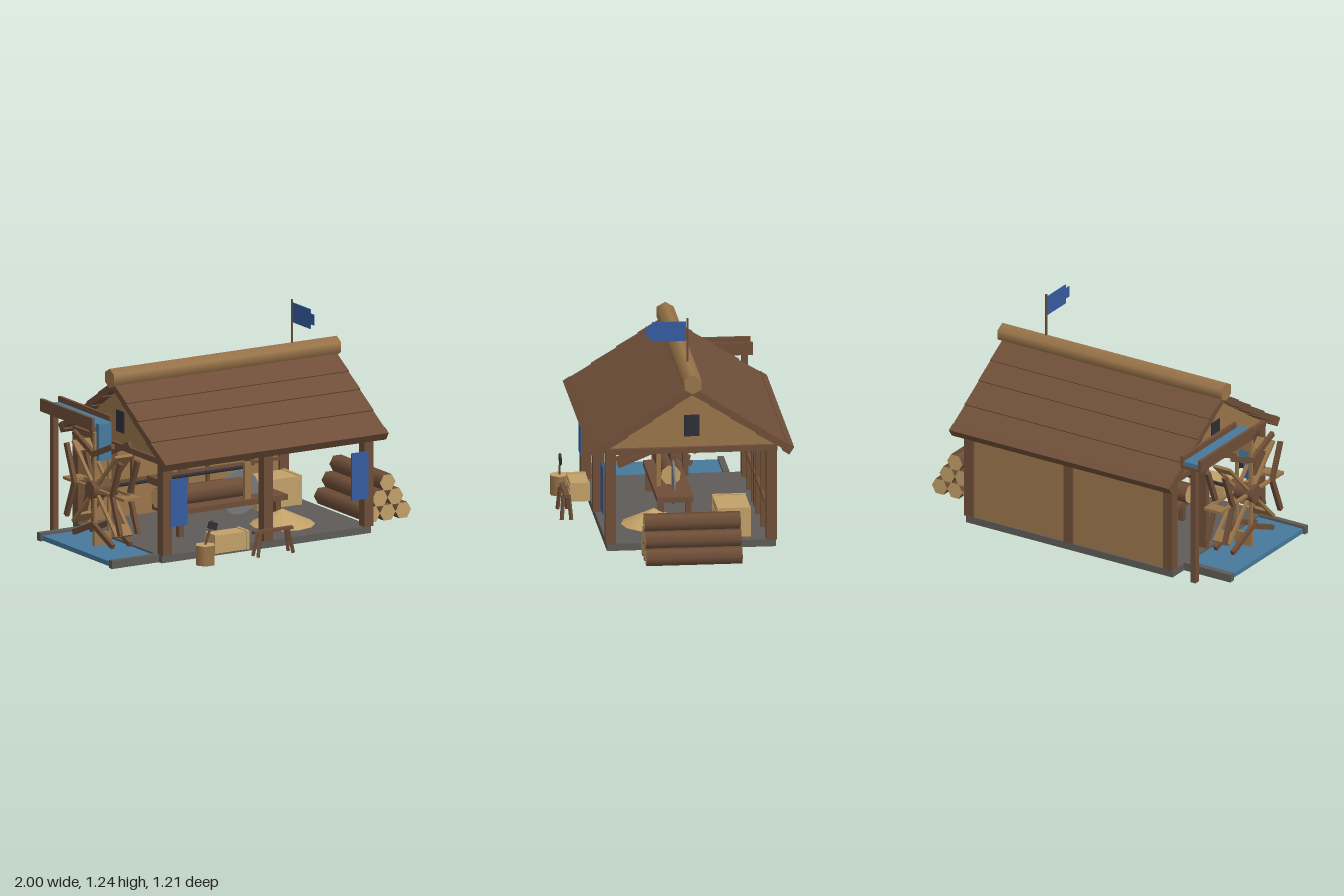
import * as THREE from 'three';

const mat = (name, color) => {
  const m = new THREE.MeshStandardMaterial({ color });
  m.name = name;
  return m;
};

export function createModel() {
  const darkWood = mat('darkWood', 0x6e4e38), wood = mat('wood', 0x9a754a), pale = mat('paleWood', 0xc2a068);
  const stone = mat('stone', 0x5e5b58), water = mat('water', 0x47799c), cloth = mat('cloth', 0x365ba0);
  const iron = mat('iron', 0x2e2e38), steel = mat('steel', 0x77787a);
  const root = new THREE.Group();

  const group = (name, parent = root) => {
    const g = new THREE.Group();
    g.name = name;
    parent.add(g);
    return g;
  };
  const add = (name, geo, m, x, y, z, parent = root) => {
    const mesh = new THREE.Mesh(geo, m);
    mesh.name = name;
    mesh.position.set(x, y, z);
    parent.add(mesh);
    return mesh;
  };
  // box given by its extents
  const box = (name, m, x0, x1, y0, y1, z0, z1, parent = root) =>
    add(name, new THREE.BoxGeometry(x1 - x0, y1 - y0, z1 - z0), m, (x0 + x1) / 2, (y0 + y1) / 2, (z0 + z1) / 2, parent);
  // square bar between two points
  const bar = (name, m, a, b, w, parent = root) => {
    const p = new THREE.Vector3(...a), q = new THREE.Vector3(...b);
    const mesh = add(name, new THREE.BoxGeometry(w, p.distanceTo(q), w), m, 0, 0, 0, parent);
    mesh.position.copy(p).add(q).multiplyScalar(0.5);
    mesh.quaternion.setFromUnitVectors(new THREE.Vector3(0, 1, 0), q.sub(p).normalize());
    return mesh;
  };
  const cyl = (r, len, sides = 6) => new THREE.CylinderGeometry(r, r, len, sides, 1, false, Math.PI / 6);

  // foundation and mill pond
  box('foundation', stone, -0.7, 0.635, 0, 0.04, -0.515, 0.41);
  box('pondWater', water, -0.985, -0.7, 0.003, 0.03, -0.365, 0.35);
  box('pondCurb', stone, -1, -0.7, 0, 0.045, 0.35, 0.38);
  box('pondCurb', stone, -1, -0.7, 0, 0.045, -0.4, -0.365);

  // timber frame
  const frame = group('frame');
  for (const x of [-0.67, -0.025, 0.617])
    for (const z of [0.39, -0.49]) box('post', darkWood, x - 0.029, x + 0.029, 0.04, 0.55, z - 0.029, z + 0.029, frame);
  box('sidePost', darkWood, -0.695, -0.645, 0.04, 0.55, -0.17, -0.14, frame);
  box('sideRail', darkWood, -0.69, -0.65, 0.415, 0.455, 0.24, 0.365, frame);
  for (const z of [0.39, -0.49]) box('longBeam', darkWood, -0.7, 0.646, 0.545, 0.577, z - 0.03, z + 0.03, frame);
  for (const x of [-0.67, 0.617]) box('crossBeam', darkWood, x - 0.03, x + 0.03, 0.545, 0.577, -0.52, 0.42, frame);

  // back wall with studs and a rail
  box('backWall', wood, -0.65, 0.6, 0.04, 0.55, -0.505, -0.475);
  for (const x of [-0.6, -0.35, -0.11, 0.13, 0.38]) box('wallStud', darkWood, x - 0.009, x + 0.009, 0.04, 0.55, -0.475, -0.457);
  box('wallRail', darkWood, -0.64, 0.59, 0.235, 0.25, -0.475, -0.455);

  // gables with windows
  const tri = new THREE.Shape([new THREE.Vector2(-0.46, 0.575), new THREE.Vector2(0.46, 0.575), new THREE.Vector2(0, 0.884)]);
  for (const [x, side] of [[0.61, 1], [-0.663, -1]]) {
    const g = add('gable', new THREE.ExtrudeGeometry(tri, { depth: 0.03, bevelEnabled: false }), wood, x - 0.015, 0, -0.053);
    g.rotation.y = Math.PI / 2;
    const wx = x + side * 0.017;
    box('gableWindow', iron, wx - 0.004, wx + 0.004, 0.635, 0.755, -0.095, -0.013);
  }

  // roof of overlapping planks, one slope turned round for the back
  for (const turn of [0, Math.PI]) {
    const half = group('roofSlope');
    half.position.set(-0.025, 0.907, -0.05);
    half.rotation.y = turn;
    const slope = group('planks', half);
    slope.rotation.x = 0.576;
    for (const [s0, s1] of [[0, 0.165], [0.125, 0.305], [0.265, 0.47], [0.43, 0.64]]) {
      const p = box('roofPlank', darkWood, -0.71, 0.71, -0.018, 0.018, s0, s1, slope);
      p.rotation.x = -0.04;
    }
    box('eaveBoard', darkWood, -0.712, 0.712, -0.026, 0.024, 0.605, 0.65, slope);
  }
  add('ridgeLog', cyl(0.054, 1.45), wood, -0.025, 0.945, -0.053).rotation.z = Math.PI / 2;

  // flag
  add('flagPole', new THREE.CylinderGeometry(0.006, 0.006, 0.27, 6), darkWood, 0.415, 1.105, -0.053);
  box('flag', cloth, 0.412, 0.418, 1.113, 1.223, -0.045, 0.14);
  box('flagTip', cloth, 0.412, 0.418, 1.14, 1.2, 0.14, 0.177);

  // cloth hangings
  for (const x of [-0.602, 0.552]) {
    box('curtain', cloth, x - 0.053, x + 0.053, 0.2, 0.465, 0.423, 0.43);
  }
  box('wallCloth', cloth, -0.155, 0.1, 0.375, 0.475, -0.448, -0.44);

  // water wheel: hub, spokes, paddles and slanted rim boards
  const wheel = group('waterWheel');
  wheel.position.set(-0.83, 0.353, 0);
  add('hub', cyl(0.05, 0.16, 8), darkWood, 0, 0, 0, wheel).rotation.z = Math.PI / 2;
  for (let i = 0; i < 8; i++) {
    const arm = group('arm', wheel);
    arm.rotation.x = (i * Math.PI) / 4;
    for (const x of [-0.045, 0.045]) box('spoke', wood, x - 0.009, x + 0.009, 0.03, 0.3, -0.008, 0.008, arm);
    box('paddle', wood, -0.055, 0.055, 0.245, 0.318, -0.008, 0.008, arm);
    const a = ((i + 0.5) * Math.PI) / 4;
    for (const x of [-0.055, 0.055]) {
      const r = add('rimBoard', new THREE.BoxGeometry(0.022, 0.225, 0.028), darkWood, x, Math.sin(a) * 0.257, Math.cos(a) * 0.257, wheel);
      r.rotation.x = a;
    }
  }
  add('axle', new THREE.CylinderGeometry(0.01, 0.01, 1.0, 8), iron, -0.4, 0.355, 0).rotation.z = Math.PI / 2;

  // chute feeding the wheel
  box('chuteFloor', darkWood, -0.895, -0.765, 0.68, 0.697, -0.535, 0);
  for (const x of [-0.887, -0.773]) box('chuteSide', darkWood, x - 0.009, x + 0.009, 0.68, 0.75, -0.535, 0);
  box('chuteWater', water, -0.878, -0.782, 0.697, 0.72, -0.53, 0);
  box('fallingWater', water, -0.87, -0.79, 0.515, 0.72, 0, 0.034);
  box('chutePost', darkWood, -0.847, -0.813, 0, 0.68, -0.512, -0.478);

  // saw bench with log and blade
  const saw = group('sawBench');
  box('benchTop', darkWood, -0.45, 0.295, 0.165, 0.195, -0.1, 0.1, saw);
  for (const x of [-0.38, 0.24]) for (const z of [-0.075, 0.075]) box('benchLeg', darkWood, x - 0.016, x + 0.016, 0.04, 0.166, z - 0.016, z + 0.016, saw);
  const cutLog = add('cutLog', cyl(0.056, 0.54, 8), [darkWood, pale, pale], -0.215, 0.251, 0, saw);
  cutLog.rotation.z = Math.PI / 2;
  add('sawBlade', new THREE.CylinderGeometry(0.125, 0.125, 0.01, 20), steel, 0.05, 0.217, -0.01, saw).rotation.x = Math.PI / 2;
  box('sawArm', darkWood, 0.105, 0.135, 0.36, 0.517, -0.015, 0.01, saw);
  box('sawFence', wood, 0.034, 0.072, 0.195, 0.4, 0.055, 0.08, saw);

  // sawdust heap
  add('sawdust', new THREE.ConeGeometry(0.18, 0.085, 12), pale, 0.25, 0.082, 0.115);

  // crates with slats and corner battens
  const crate = (x0, x1, y0, y1, z0, z1) => {
    const g = group('crate');
    box('crateBody', pale, x0 + 0.006, x1 - 0.006, y0, y1 - 0.004, z0 + 0.006, z1 - 0.006, g);
    const n = 3, h = (y1 - y0) / n;
    for (let i = 0; i < n; i++) box('crateSlat', pale, x0 + 0.002, x1 - 0.002, y0 + i * h + 0.004, y0 + (i + 1) * h - 0.004, z0 + 0.002, z1 - 0.002, g);
    for (const x of [x0, x1 - 0.02]) box('crateBatten', pale, x, x + 0.02, y0, y1, z0, z1, g);
  };
  crate(-0.43, -0.21, 0.04, 0.145, 0.415, 0.522);
  crate(0.285, 0.57, 0.04, 0.205, -0.385, -0.2);

  // small bench in front
  const stool = group('trestle');
  box('trestleTop', darkWood, -0.215, 0.035, 0.134, 0.15, 0.554, 0.58, stool);
  for (const [x, d] of [[-0.175, -1], [0.0, 1]])
    for (const s of [-1, 1])
      bar('trestleLeg', darkWood, [x, 0.138, 0.567 + s * 0.015], [x + d * 0.025, 0.006, 0.567 + s * 0.026], 0.016, stool);

  // chopping block and axe
  add('choppingBlock', cyl(0.057, 0.11), [wood, pale, pale], -0.51, 0.055, 0.55);
  bar('axeHandle', darkWood, [-0.51, 0.105, 0.55], [-0.462, 0.242, 0.55], 0.01);
  box('axeHead', iron, -0.49, -0.435, 0.19, 0.23, 0.544, 0.556).rotation.z = -0.34;

  // log pile
  const pile = group('logPile');
  for (let row = 0; row < 3; row++)
    for (let i = 0; i < 3 - row; i++) {
      const log = add('log', cyl(0.05, 0.525), [darkWood, pale, pale], 0.752 + (i + row / 2) * 0.099, 0.05 + row * 0.084, -0.032, pile);
      log.rotation.x = Math.PI / 2;
    }
  return root;
}
